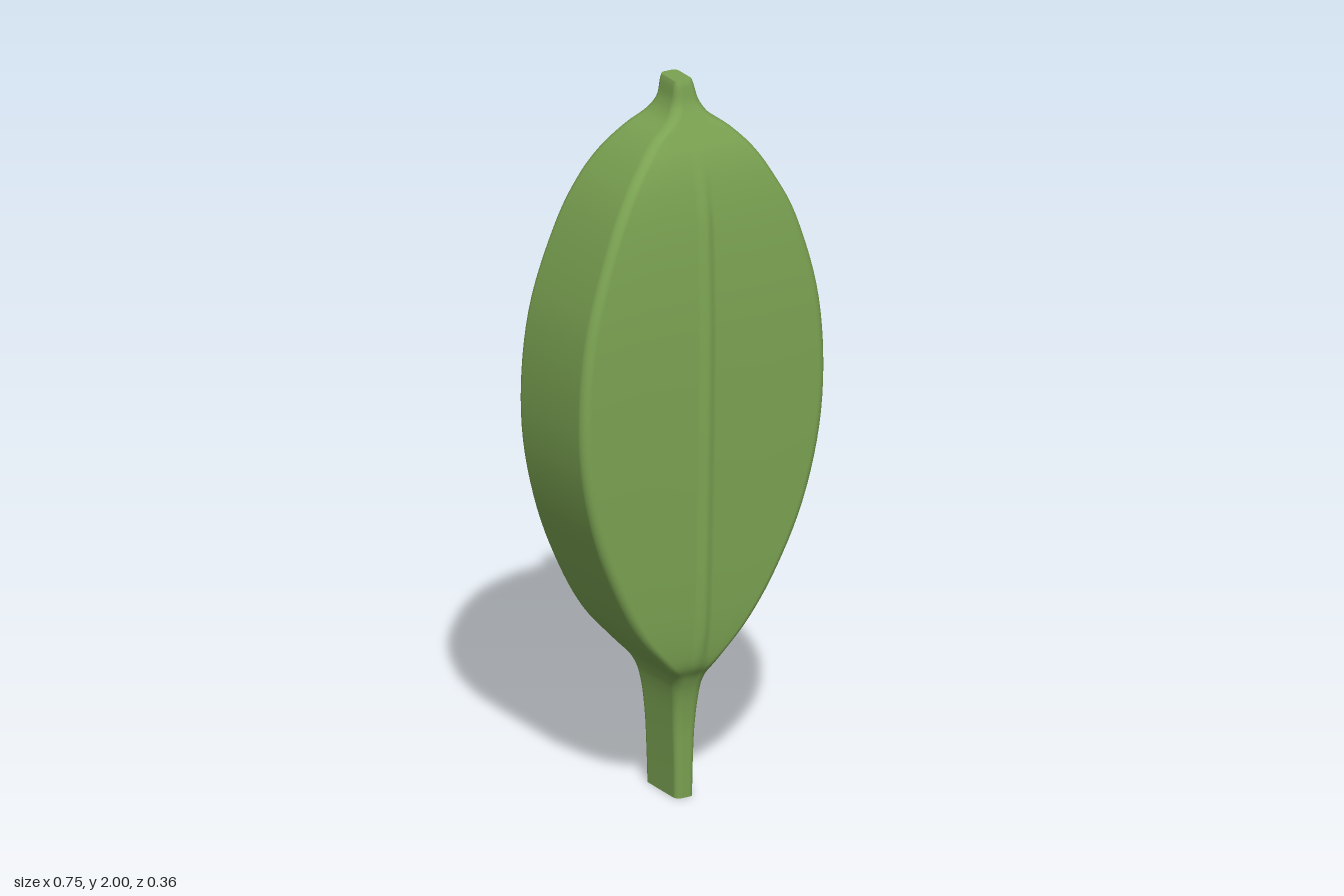
import * as THREE from 'three';

// Leaf stations from stem foot to tip: [y, left edge x, right edge x, half depth]
const STATIONS = [
  [0, -0.035, 0.02, 0.08], [0.1, -0.037, 0.021, 0.083], [0.2, -0.041, 0.025, 0.087],
  [0.29, -0.048, 0.031, 0.1], [0.35, -0.064, 0.039, 0.12], [0.4, -0.105, 0.065, 0.147],
  [0.5, -0.19, 0.15, 0.16], [0.63, -0.26, 0.232, 0.166], [0.8, -0.325, 0.31, 0.168],
  [1.0, -0.367, 0.36, 0.169], [1.2, -0.372, 0.373, 0.168], [1.4, -0.345, 0.355, 0.163],
  [1.6, -0.28, 0.3, 0.15], [1.72, -0.222, 0.242, 0.134], [1.8, -0.165, 0.192, 0.115],
  [1.86, -0.105, 0.137, 0.09], [1.9, -0.047, 0.085, 0.072], [1.94, -0.022, 0.06, 0.056],
  [1.985, -0.014, 0.046, 0.049], [2.0, -0.01, 0.041, 0.045],
];
const RIB = [-1, -0.75, -0.5, -0.25, 0, 0.25, 0.5, 0.75, 1];
const CORNER_STEPS = 6;

// Half of a rounded section: one broad face with the midrib, then its right corner;
// the other half is the same walk turned round to the back.
function section(y, xl, xr, depth) {
  const cx = (xl + xr) / 2, hw = (xr - xl) / 2;
  const r = Math.min(0.026, hw * 0.6);
  const ribX = THREE.MathUtils.lerp(-0.012, 0.02, y / 2);
  const ribW = Math.min(0.028, hw * 0.35);
  const ribH = 0.009 * THREE.MathUtils.smoothstep(y, 0.33, 0.5) * (1 - THREE.MathUtils.smoothstep(y, 1.6, 1.85));
  const points = [];
  for (const side of [1, -1]) {
    const rib = (ribX - cx) * side;
    const flat = hw - r;
    const mid = THREE.MathUtils.clamp(rib, -flat + ribW, flat - ribW);
    const add = (x, z) => points.push([cx + side * x, side * z - 0.004 * THREE.MathUtils.smoothstep(y, 1.6, 2)]);
    // left corner
    for (let i = 0; i <= CORNER_STEPS; i++) {
      const a = Math.PI - (i / CORNER_STEPS) * Math.PI / 2;
      add(-flat + r * Math.cos(a), depth - r + r * Math.sin(a));
    }
    // broad face and raised midrib
    add((mid - ribW - flat) / 2, depth);
    for (const t of RIB) add(mid + t * ribW, depth + ribH * (0.5 + 0.5 * Math.cos(t * Math.PI)));
    add((mid + ribW + flat) / 2, depth);
    // right corner
    for (let i = 0; i <= CORNER_STEPS; i++) {
      const a = Math.PI / 2 - (i / CORNER_STEPS) * Math.PI / 2;
      add(flat + r * Math.cos(a), depth - r + r * Math.sin(a));
    }
  }
  return points.map(([x, z]) => [x, y, z]);
}

// Skin joining consecutive rings, with flat end caps on their own vertices
function loft(rings) {
  const n = rings[0].length, pos = [], index = [];
  rings.forEach((ring) => ring.forEach((p) => pos.push(...p)));
  for (let j = 0; j < rings.length - 1; j++) {
    for (let i = 0; i < n; i++) {
      const k = (i + 1) % n, a = j * n + i, b = j * n + k;
      index.push(a, b, b + n, a, b + n, a + n);
    }
  }
  for (const [ring, up] of [[rings[0], false], [rings[rings.length - 1], true]]) {
    const base = pos.length / 3;
    ring.forEach((p) => pos.push(...p));
    const c = [0, 1, 2].map((d) => ring.reduce((s, p) => s + p[d], 0) / n);
    pos.push(...c);
    for (let i = 0; i < n; i++) {
      const a = base + i, b = base + (i + 1) % n;
      index.push(base + n, up ? a : b, up ? b : a);
    }
  }
  const geometry = new THREE.BufferGeometry();
  geometry.setAttribute('position', new THREE.Float32BufferAttribute(pos, 3));
  geometry.setIndex(index);
  geometry.computeVertexNormals();
  return geometry;
}

export function createModel() {
  const group = new THREE.Group();
  group.name = 'leaf';
  const leafGreen = new THREE.MeshStandardMaterial({ color: 0x7ba352 });
  leafGreen.name = 'leaf green';

  // Smooth curves through the stations
  const edges = new THREE.CatmullRomCurve3(
    STATIONS.map(([y, xl, xr]) => new THREE.Vector3(xl, y, xr)), false, 'catmullrom');
  const depths = new THREE.CatmullRomCurve3(
    STATIONS.map(([y, , , d]) => new THREE.Vector3(d, y, 0)), false, 'catmullrom');
  const rings = [], steps = (STATIONS.length - 1) * 5;
  for (let i = 0; i <= steps; i++) {
    const e = edges.getPoint(i / steps), d = depths.getPoint(i / steps);
    rings.push(section(e.y, e.x, e.z, d.x));
  }

  // Blade, stem and tip are one continuous body
  const leaf = new THREE.Mesh(loft(rings), leafGreen);
  leaf.name = 'leafBladeAndStem';
  group.add(leaf);
  return group;
}
